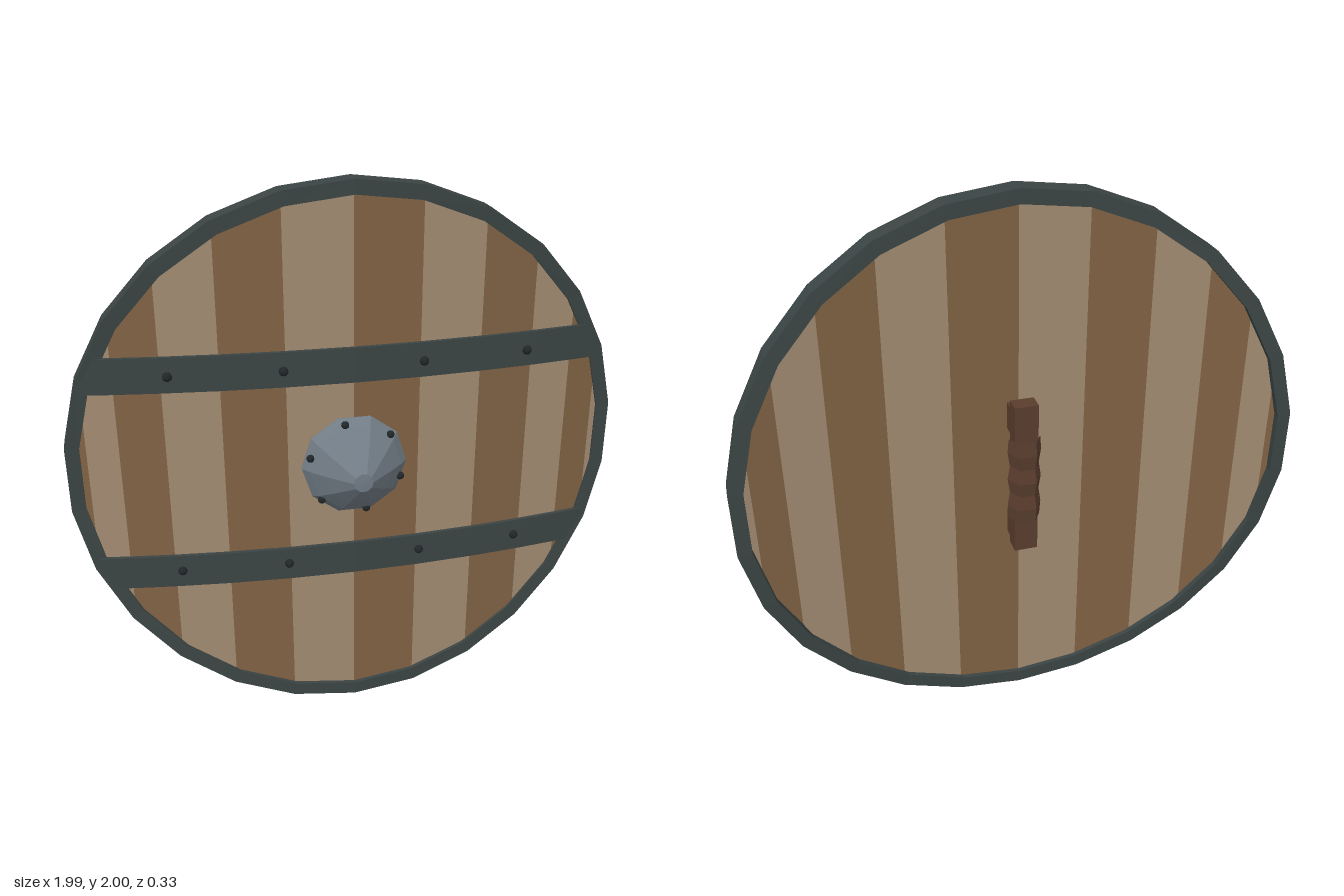
import * as THREE from 'three';

const SIDES = 26, STEP = (Math.PI * 2) / SIDES, CY = 1;
const bend = (x) => -0.09 * x * x; // shield curves back toward its left and right edges

const mat = (name, color, flatShading = true) => {
  const m = new THREE.MeshStandardMaterial({ color, flatShading });
  m.name = name;
  return m;
};

// Joins four-cornered cross-sections into a flat-shaded solid
function loft(sections, closed) {
  const pos = [];
  const tri = (...pts) => pts.forEach((p) => pos.push(...p));
  const n = sections.length;
  for (let i = 0; i < (closed ? n : n - 1); i++) {
    const s = sections[i], t = sections[(i + 1) % n];
    for (let j = 0; j < 4; j++) {
      const k = (j + 1) % 4;
      tri(s[j], t[j], t[k]);
      tri(s[j], t[k], s[k]);
    }
  }
  if (!closed) {
    const s = sections[0], e = sections[n - 1];
    tri(s[0], s[1], s[2]); tri(s[0], s[2], s[3]);
    tri(e[0], e[2], e[1]); tri(e[0], e[3], e[2]);
  }
  const g = new THREE.BufferGeometry();
  g.setAttribute('position', new THREE.Float32BufferAttribute(pos, 3));
  g.computeVertexNormals();
  return g;
}

// Upright column of a curved slab at x
const column = (x, lo, hi, front, back) => {
  const f = front + bend(x), b = back + bend(x);
  return [[x, hi, f], [x, hi, b], [x, lo, b], [x, lo, f]];
};

export function createModel() {
  const group = new THREE.Group();
  group.name = 'roundShield';
  const iron = mat('dark iron', 0x3b4444);
  const steel = mat('steel', 0x717c86);
  const rivetMat = mat('black iron', 0x202628);
  const darkWood = mat('dark wood', 0x806244);
  const lightWood = mat('light wood', 0xa28b72);
  const leather = mat('grip brown', 0x5a3d2e);

  const add = (name, geometry, material, x = 0, y = 0, z = 0, parent = group) => {
    const m = new THREE.Mesh(geometry, material);
    m.name = name;
    m.position.set(x, y, z);
    parent.add(m);
    return m;
  };

  // Planks, one per facet of the disc, alternating in colour
  const planks = new THREE.Group();
  planks.name = 'planks';
  group.add(planks);
  const plankEdge = (k) => {
    const x = 0.985 * Math.sin(k * STEP), h = 0.985 * Math.cos(k * STEP);
    return column(x, CY - h, CY + h, 0.005, -0.042);
  };
  for (let k = -6; k < 6; k++) {
    add('plank', loft([plankEdge(k), plankEdge(k + 1)]), k % 2 === 0 ? darkWood : lightWood, 0, 0, 0, planks);
  }

  // Rim
  const rim = [];
  for (let i = 0; i < SIDES; i++) {
    const s = Math.sin(i * STEP), c = Math.cos(i * STEP);
    const corner = (r, z) => [r * s, CY + r * c, z + bend(s)];
    rim.push([corner(1, 0.02), corner(1, -0.058), corner(0.95, -0.058), corner(0.95, 0.02)]);
  }
  add('rim', loft(rim, true), iron);

  // Cross bands with rivets, ends tapered to stay inside the rim
  const rivetGeo = new THREE.IcosahedronGeometry(0.017, 1);
  for (const side of [-1, 1]) {
    const xs = [-0.92, -0.86];
    for (let k = -4; k <= 4; k++) xs.push(Math.sin(k * STEP));
    xs.push(0.86, 0.92);
    const band = xs.map((x) => {
      const inner = 0.315, outer = Math.abs(x) > 0.9 ? 0.35 : 0.44;
      const a = CY + side * inner, b = CY + side * outer;
      return column(x, Math.min(a, b), Math.max(a, b), 0.02, -0.01);
    });
    add(side > 0 ? 'upperBand' : 'lowerBand', loft(band), iron);
    for (const x of [-0.63, -0.245, 0.245, 0.63]) {
      add('bandRivet', rivetGeo, rivetMat, x, CY + side * 0.374, 0.022 + bend(x));
    }
  }

  // Boss: ten-sided dome with a small flat tip
  const profile = [[0.19, -0.015], [0.19, 0.008], [0.165, 0.04], [0.12, 0.085], [0.035, 0.163], [0, 0.165]]
    .map(([r, h]) => new THREE.Vector2(r, h));
  const boss = new THREE.LatheGeometry(profile, 10, Math.PI / 2).rotateX(Math.PI / 2);
  add('boss', boss, steel, 0, CY, 0);
  for (let i = 0; i < 6; i++) {
    const a = ((-17 + i * 60) * Math.PI) / 180;
    add('bossRivet', rivetGeo, rivetMat, 0.17 * Math.cos(a), CY + 0.17 * Math.sin(a), 0.034).scale.setScalar(0.85);
  }

  // Handle: six-sided wavy grip held between two blocks
  const gripRadii = [0.056, 0.06, 0.052, 0.06, 0.052, 0.06, 0.056];
  const gripProfile = gripRadii.map((r, i) => new THREE.Vector2(r, -0.16 + (0.32 * i) / 6));
  add('grip', new THREE.LatheGeometry(gripProfile, 6, Math.PI / 2), leather, 0, CY, -0.113);
  for (const side of [-1, 1]) {
    add('handleBlock', new THREE.BoxGeometry(0.084, 0.15, 0.06), leather, 0, CY + side * 0.215, -0.11);
    add('handleMount', new THREE.BoxGeometry(0.084, 0.1, 0.06), leather, 0, CY + side * 0.215, -0.06);
  }
  return group;
}
